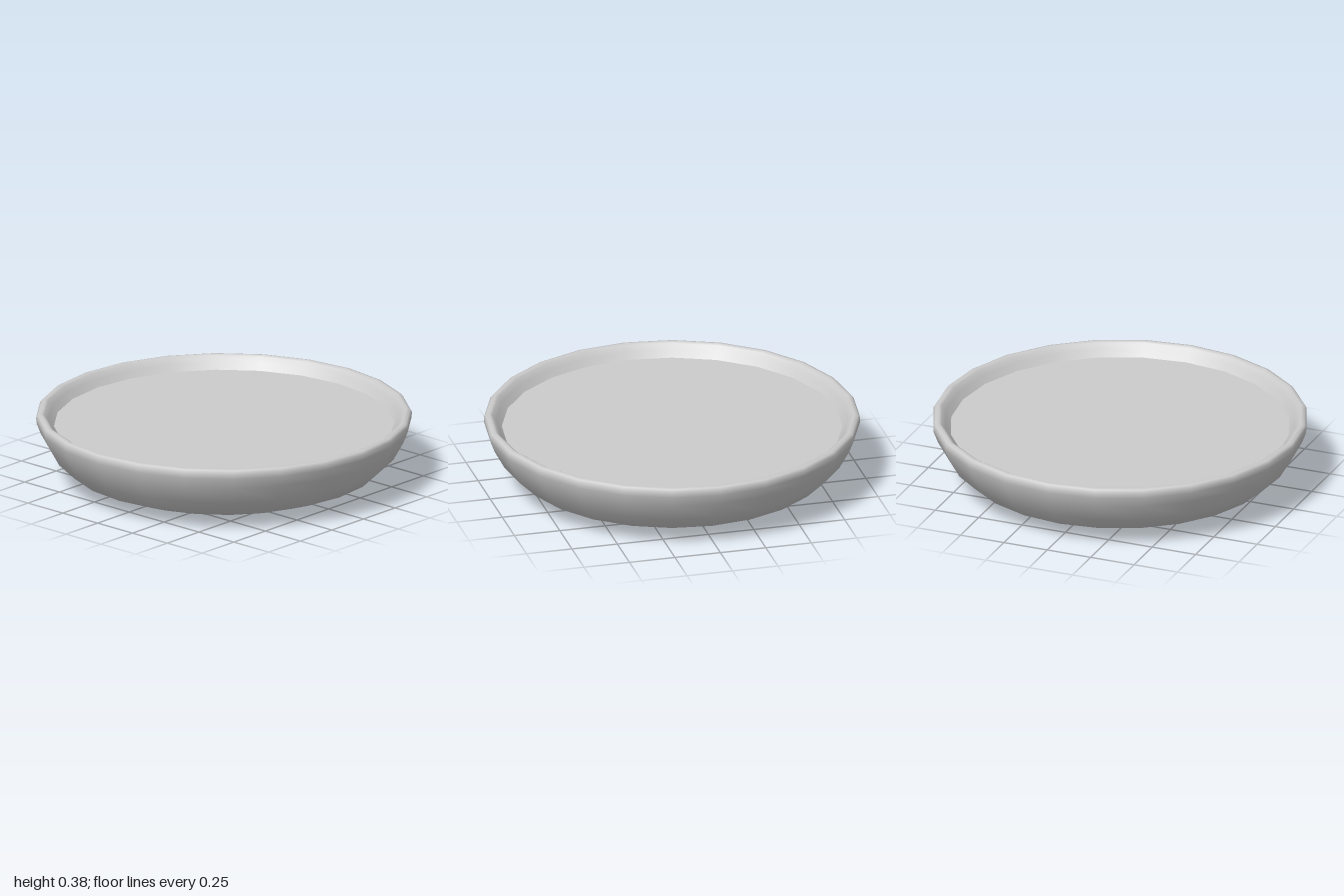
import * as THREE from 'three';

const SIDES = 24;

export function createModel() {
  const group = new THREE.Group();
  const material = new THREE.MeshStandardMaterial({ color: 0xcccccc, side: THREE.DoubleSide });

  // Shallow bowl: up the outside, over the rounded rim, down the inside
  const profile = [
    [0, 0], [0.48, 0.003], [0.68, 0.025], [0.83, 0.083], [0.92, 0.17], [0.975, 0.27],
    [0.998, 0.33], [1, 0.36], [0.99, 0.375], [0.97, 0.38], [0.955, 0.372],
    [0.935, 0.345], [0.9, 0.29], [0.83, 0.2], [0.7, 0.12], [0, 0.09],
  ].map(([r, y]) => new THREE.Vector2(r, y));
  const bowl = new THREE.Mesh(new THREE.LatheGeometry(profile, SIDES), material);
  bowl.name = 'bowl';
  group.add(bowl);

  // Flat surface of the contents, just below the rim
  const filling = new THREE.Mesh(new THREE.CircleGeometry(0.905, SIDES).rotateX(-Math.PI / 2), material);
  filling.position.y = 0.31;
  filling.name = 'filling';
  group.add(filling);

  return group;
}
